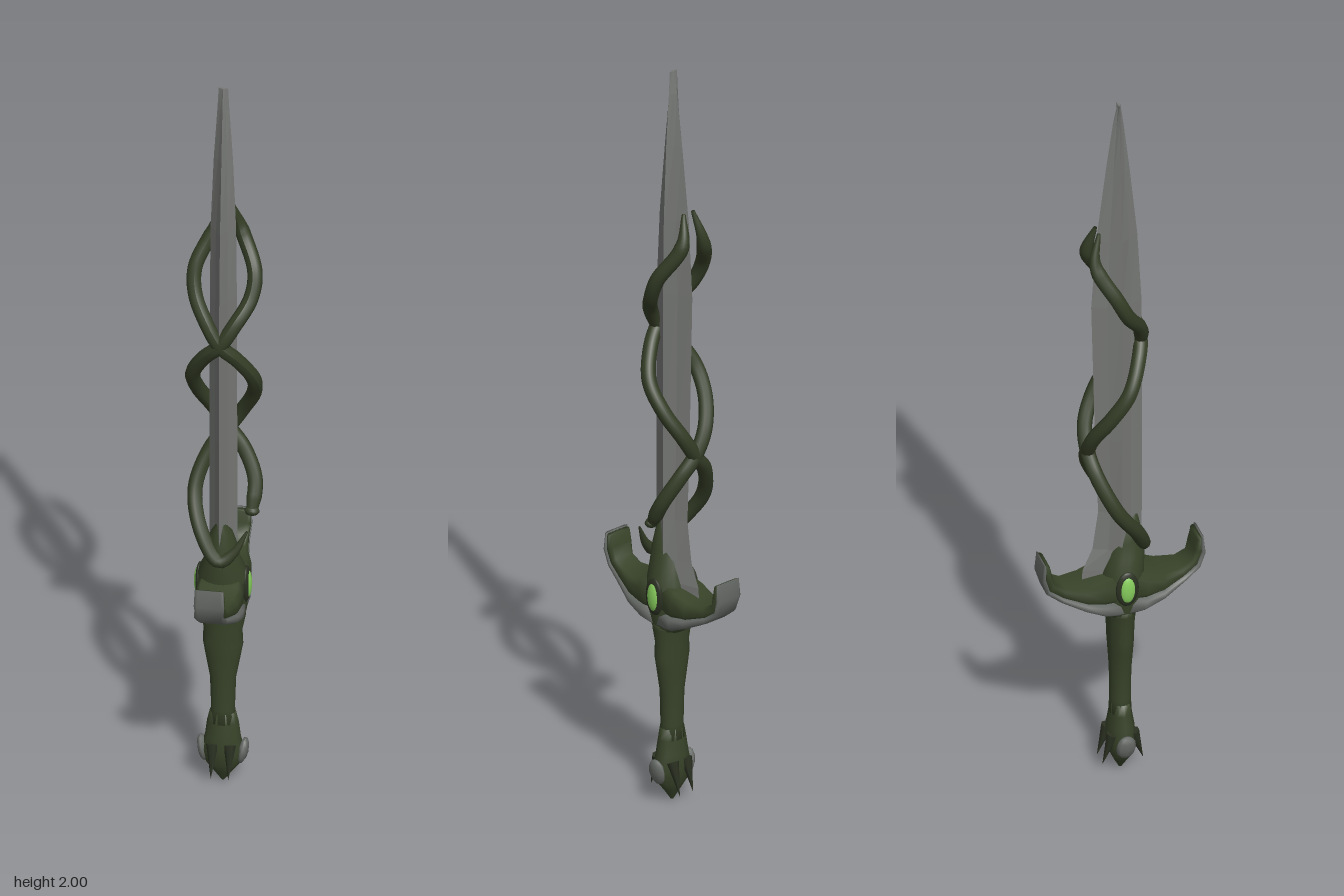
import * as THREE from 'three';

const mat = (name, color, side = THREE.FrontSide) => {
  const m = new THREE.MeshStandardMaterial({ color, side });
  m.name = name;
  return m;
};

// Skin a list of point rings into a closed body
function loft(rings, flat = false) {
  const n = rings[0].length, pos = [], idx = [];
  rings.forEach(r => r.forEach(p => pos.push(...p)));
  for (let i = 0; i < rings.length - 1; i++) {
    for (let j = 0; j < n; j++) {
      const a = i * n + j, b = i * n + (j + 1) % n, c = a + n, d = b + n;
      idx.push(a, c, b, b, c, d);
    }
  }
  [0, rings.length - 1].forEach((r, end) => {
    const centre = pos.length / 3;
    pos.push(...[0, 1, 2].map(k => rings[r].reduce((s, p) => s + p[k], 0) / n));
    for (let j = 0; j < n; j++) {
      const a = r * n + j, b = r * n + (j + 1) % n;
      idx.push(...(end ? [centre, b, a] : [centre, a, b]));
    }
  });
  let g = new THREE.BufferGeometry();
  g.setAttribute('position', new THREE.Float32BufferAttribute(pos, 3));
  g.setIndex(idx);
  if (flat) g = g.toNonIndexed();
  g.computeVertexNormals();
  return g;
}

// Upright elliptical body from [y, halfX, halfZ, centreZ]
const oval = (rows, n = 18) => loft(rows.map(([y, hx, hz, cz = 0]) =>
  Array.from({ length: n }, (_, i) => {
    const a = i / n * Math.PI * 2;
    return [hx * Math.cos(a), y, cz + hz * Math.sin(a)];
  })));

// Tube whose radius follows a rule along its length
function vine(points, radius) {
  const curve = new THREE.CatmullRomCurve3(points.map(p => new THREE.Vector3(...p)));
  const n = 120, m = 10, g = new THREE.TubeGeometry(curve, n, 1, m);
  const pos = g.attributes.position, v = new THREE.Vector3();
  for (let i = 0; i <= n; i++) {
    const c = curve.getPointAt(i / n);
    for (let j = 0; j <= m; j++) {
      const k = i * (m + 1) + j;
      v.fromBufferAttribute(pos, k).sub(c).multiplyScalar(radius(i / n)).add(c);
      pos.setXYZ(k, v.x, v.y, v.z);
    }
  }
  g.computeVertexNormals();
  return g;
}

export function createModel() {
  const root = new THREE.Group();
  root.name = 'sword';
  const steel = mat('blade steel', 0x777976);
  const green = mat('dark green', 0x384329);
  const vineGreen = mat('vine green', 0x343d26, THREE.DoubleSide);
  const trim = mat('dull metal', 0x666a66);
  const dark = mat('shadow green', 0x2b3122);
  const glow = mat('gem green', 0x86cc5c);
  const add = (name, geometry, material) => {
    const mesh = new THREE.Mesh(geometry, material);
    mesh.name = name;
    root.add(mesh);
    return mesh;
  };

  // Blade: [y, halfX, frontZ, backZ], hollow-ground diamond section
  const blade = [
    [0.56, 0.032, 0.05, -0.1], [0.61, 0.034, 0.055, -0.098], [0.67, 0.035, 0.055, -0.072],
    [0.78, 0.035, 0.057, -0.057], [1.0, 0.035, 0.057, -0.065], [1.4, 0.034, 0.056, -0.075],
    [1.6, 0.032, 0.045, -0.062], [1.8, 0.024, 0.025, -0.038], [1.94, 0.015, 0.009, -0.019],
    [2.0, 0.012, 0.001, -0.007]
  ].map(([y, h, f, b]) => {
    const c = -0.005, k = 0.46;
    const q = (sx, z) => [sx * h * k, y, c + (z - c) * k];
    return [[h, y, c], q(1, f), [0, y, f], q(-1, f), [-h, y, c], q(-1, b), [0, y, b], q(1, b)];
  });
  add('blade', loft(blade, true), steel);

  // Twin vines winding in opposite directions round the blade
  const wind = [
    [0.015, 1.63, -0.06], [0.035, 1.55, -0.075], [0.075, 1.46, -0.03], [0.07, 1.4, 0],
    [0.035, 1.34, 0.04], [0, 1.285, 0.052], [-0.04, 1.24, 0.035], [-0.076, 1.17, 0],
    [-0.07, 1.1, -0.045], [-0.037, 1.03, -0.08], [0, 0.97, -0.085], [0.04, 0.92, -0.075]
  ];
  const mirrored = wind.map(([x, y, z]) => [-x, y, z]);
  const taper = end => t => 0.019 * Math.min(1, 0.25 + t * 9, end + (1 - t) * 9);
  add('leftVine', vine([...wind, [0.073, 0.85, -0.045], [0.072, 0.78, -0.005]], taper(0.7)), vineGreen);
  add('rightVine', vine([...mirrored, [-0.075, 0.82, -0.03], [-0.05, 0.73, 0.03],
    [0, 0.665, 0.06], [0.035, 0.69, 0.055], [0.068, 0.75, 0.045]], taper(0.15)), vineGreen);
  const bud = add('vineBud', new THREE.SphereGeometry(0.016, 10, 8), vineGreen);
  bud.position.set(0.072, 0.782, -0.005);
  bud.scale.set(1.2, 0.8, 1);

  // Guard hub and collar that grips the blade root
  add('guardHub', oval([
    [0.47, 0.05, 0.036], [0.5, 0.06, 0.05], [0.56, 0.065, 0.06], [0.61, 0.062, 0.055, 0.005],
    [0.65, 0.045, 0.05, 0.012], [0.69, 0.038, 0.043, 0.015], [0.73, 0.027, 0.03, 0.02],
    [0.765, 0.008, 0.014, 0.03]
  ]), green);

  // Guard horns: [topZ, topY, bottomZ, bottomY, halfX]
  const horn = [
    [0, 0.61, 0, 0.485, 0.058], [0.06, 0.597, 0.05, 0.492, 0.06], [0.1, 0.583, 0.1, 0.514, 0.056],
    [0.15, 0.586, 0.16, 0.545, 0.038], [0.178, 0.602, 0.2, 0.577, 0.034],
    [0.186, 0.632, 0.213, 0.62, 0.038], [0.192, 0.66, 0.208, 0.668, 0.036]
  ];
  const layer = (from, to, wide) => loft(horn.map(([tz, ty, bz, by, hx]) =>
    [[1, 0.25], [1, 0.75], [0.8, 1], [-0.8, 1], [-1, 0.75], [-1, 0.25], [-0.8, 0], [0.8, 0]].map(([x, s]) => {
      const t = from + (to - from) * s;
      return [x * hx * wide, ty + (by - ty) * t, tz + (bz - tz) * t];
    })));
  [0, Math.PI].forEach((turn, i) => {
    const side = i ? 'back' : 'front';
    add(side + 'Horn', layer(0, 0.68, 0.97), green).rotation.y = turn;
    add(side + 'HornTrim', layer(0.6, 1, 1), trim).rotation.y = turn;
  });

  // Gems with dark settings on both faces
  [1, -1].forEach(s => {
    const setting = add('gemSetting', new THREE.SphereGeometry(1, 16, 12), dark);
    setting.scale.set(0.01, 0.05, 0.03);
    setting.position.set(s * 0.059, 0.572, 0);
    const gem = add('gem', new THREE.SphereGeometry(1, 16, 12), glow);
    gem.scale.set(0.012, 0.04, 0.021);
    gem.position.set(s * 0.061, 0.572, 0);
  });

  // Grip
  add('grip', oval([
    [0.17, 0.036, 0.028], [0.21, 0.03, 0.027], [0.3, 0.033, 0.028], [0.36, 0.044, 0.031],
    [0.4, 0.051, 0.033], [0.44, 0.049, 0.034], [0.48, 0.057, 0.037], [0.51, 0.06, 0.04]
  ]), green);

  // Pommel with a pointed base
  add('pommel', oval([
    [0, 0.004, 0.004], [0.03, 0.026, 0.02], [0.055, 0.046, 0.032], [0.09, 0.056, 0.036],
    [0.13, 0.045, 0.035], [0.17, 0.04, 0.028], [0.2, 0.033, 0.027]
  ], 10), green);

  // Downward claws front and back, metal plates left and right
  [1, -1].forEach(s => {
    [-0.022, 0.022].forEach(x => {
      const claw = add('pommelClaw', new THREE.ConeGeometry(0.016, 0.09, 7), dark);
      claw.position.set(x, 0.072, s * 0.04);
      claw.rotation.x = Math.PI - s * 0.3;
    });
    const plate = add('pommelPlate', new THREE.SphereGeometry(1, 8, 6), trim);
    plate.scale.set(0.014, 0.036, 0.026);
    plate.position.set(s * 0.05, 0.088, 0);
    plate.rotation.z = -s * 0.2;
  });
  return root;
}
